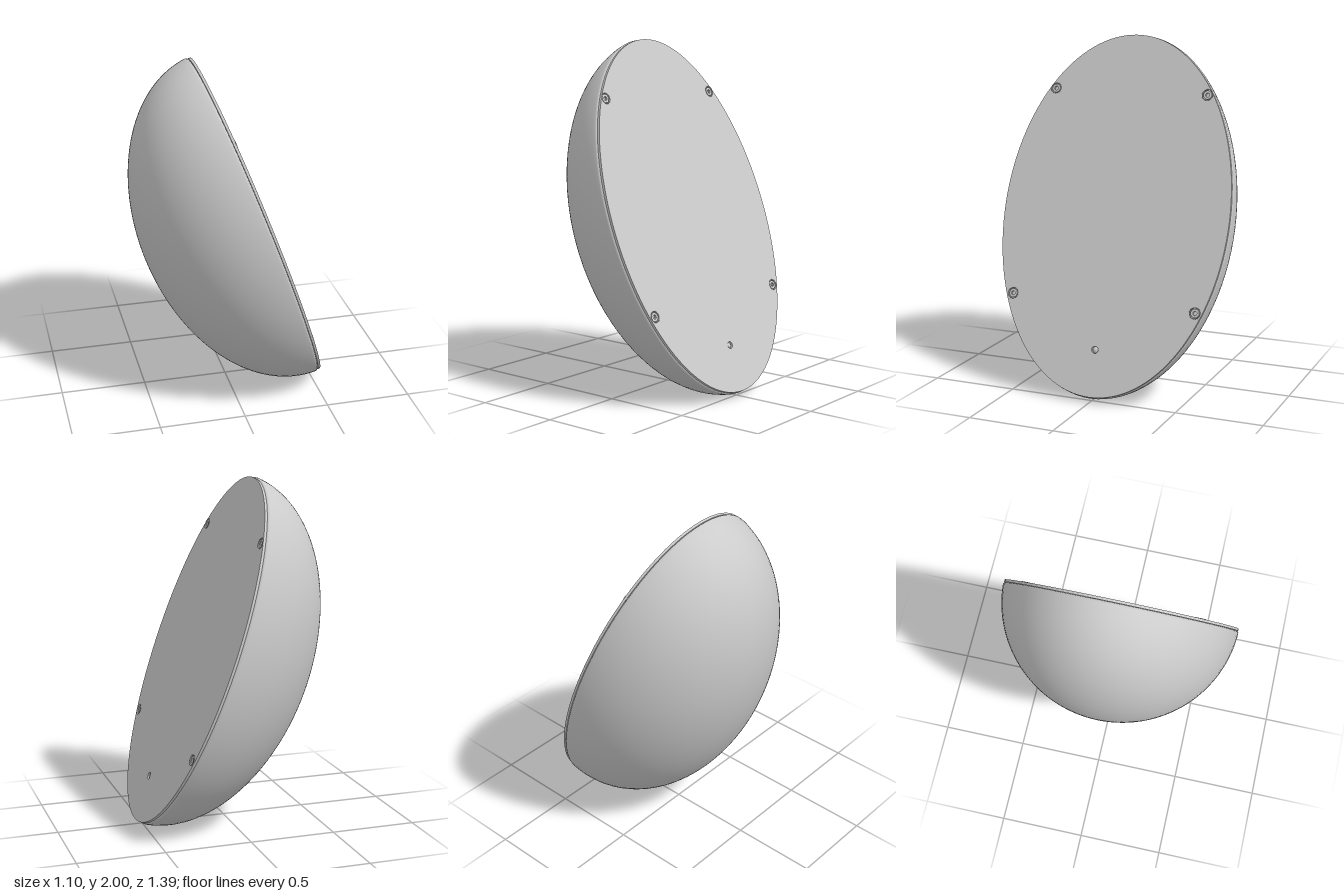
import * as THREE from 'three';

const LONG = 1.053, WIDE = 0.695, DEEP = 0.688; // half length, half width, depth of the shell
const PLATE = 0.016; // thickness of the cover plate

function circleHole(x, y, r) {
  const hole = new THREE.Path();
  hole.absarc(x, y, r, 0, Math.PI * 2, true);
  return hole;
}

// Flat shape extruded so that its upper face ends at height "top"
function slab(shape, depth, top, segments) {
  const g = new THREE.ExtrudeGeometry(shape, { depth, bevelEnabled: false, curveSegments: segments });
  g.rotateX(-Math.PI / 2);
  g.translate(0, top - depth, 0);
  return g;
}

export function createModel() {
  const model = new THREE.Group();
  model.name = 'halfEgg';
  const mat = new THREE.MeshStandardMaterial({ color: 0xcccccc, roughness: 0.6 });

  // Everything is built on a level cut face, then tilted into place
  const body = new THREE.Group();
  body.name = 'body';
  body.position.set(0.1875, 1.013, 0);
  body.rotation.z = -1.2207;
  model.add(body);

  const add = (name, geometry, parent = body) => {
    const mesh = new THREE.Mesh(geometry, mat);
    mesh.name = name;
    parent.add(mesh);
    return mesh;
  };

  // Shell: half ellipsoid with a softly rounded lip
  const profile = [];
  for (let i = 0; i <= 40; i++) {
    const a = -Math.PI / 2 + (i / 40) * (Math.PI / 2 - 0.045);
    profile.push(new THREE.Vector2(Math.max(0, WIDE * Math.cos(a)), DEEP * Math.sin(a)));
  }
  profile.push(new THREE.Vector2(0.693, -0.023), new THREE.Vector2(0.689, -0.018), new THREE.Vector2(0.684, -0.016));
  const shell = new THREE.LatheGeometry(profile, 96);
  shell.scale(LONG / WIDE, 1, 1);
  add('shell', shell);

  // Floor closing the shell under the plate
  const floor = new THREE.CircleGeometry(0.686, 96);
  floor.rotateX(-Math.PI / 2);
  floor.scale(LONG / WIDE, 1, 1);
  floor.translate(0, -PLATE, 0);
  add('shellFloor', floor);

  // Cover plate with screw holes and a small port
  const screws = [];
  for (const s of [-1, 1]) screws.push([-0.71, 0.47 * s], [0.514, 0.558 * s]);
  const port = [0.78, 0];
  const plate = new THREE.Shape();
  plate.absellipse(0, 0, LONG * 0.993, WIDE * 0.993, 0, Math.PI * 2);
  for (const [x, z] of screws) plate.holes.push(circleHole(x, -z, 0.031));
  plate.holes.push(circleHole(port[0], port[1], 0.02));
  add('coverPlate', slab(plate, PLATE - 0.001, 0, 64));

  // Screws: round heads with hexagonal sockets
  const head = new THREE.Shape();
  head.absarc(0, 0, 0.025, 0, Math.PI * 2);
  const hex = new THREE.Path();
  hex.setFromPoints(Array.from({ length: 6 }, (_, i) => {
    const a = -i * Math.PI / 3;
    return new THREE.Vector2(0.013 * Math.cos(a), 0.013 * Math.sin(a));
  }));
  hex.closePath();
  head.holes.push(hex);
  const headGeometry = slab(head, 0.012, -0.003, 16);
  const ringGeometry = new THREE.TorusGeometry(0.031, 0.002, 8, 32);
  ringGeometry.rotateX(Math.PI / 2);
  for (const [x, z] of screws) {
    const screw = new THREE.Group();
    screw.name = 'screw';
    screw.position.set(x, 0, z);
    body.add(screw);
    add('screwHead', headGeometry, screw);
    add('screwRim', ringGeometry, screw);
  }

  // Small domed plug inside the port
  const plug = new THREE.SphereGeometry(0.019, 20, 8, 0, Math.PI * 2, 0, Math.PI / 2);
  plug.scale(1, 0.75, 1);
  add('portPlug', plug).position.set(port[0], -PLATE, port[1]);

  return model;
}
